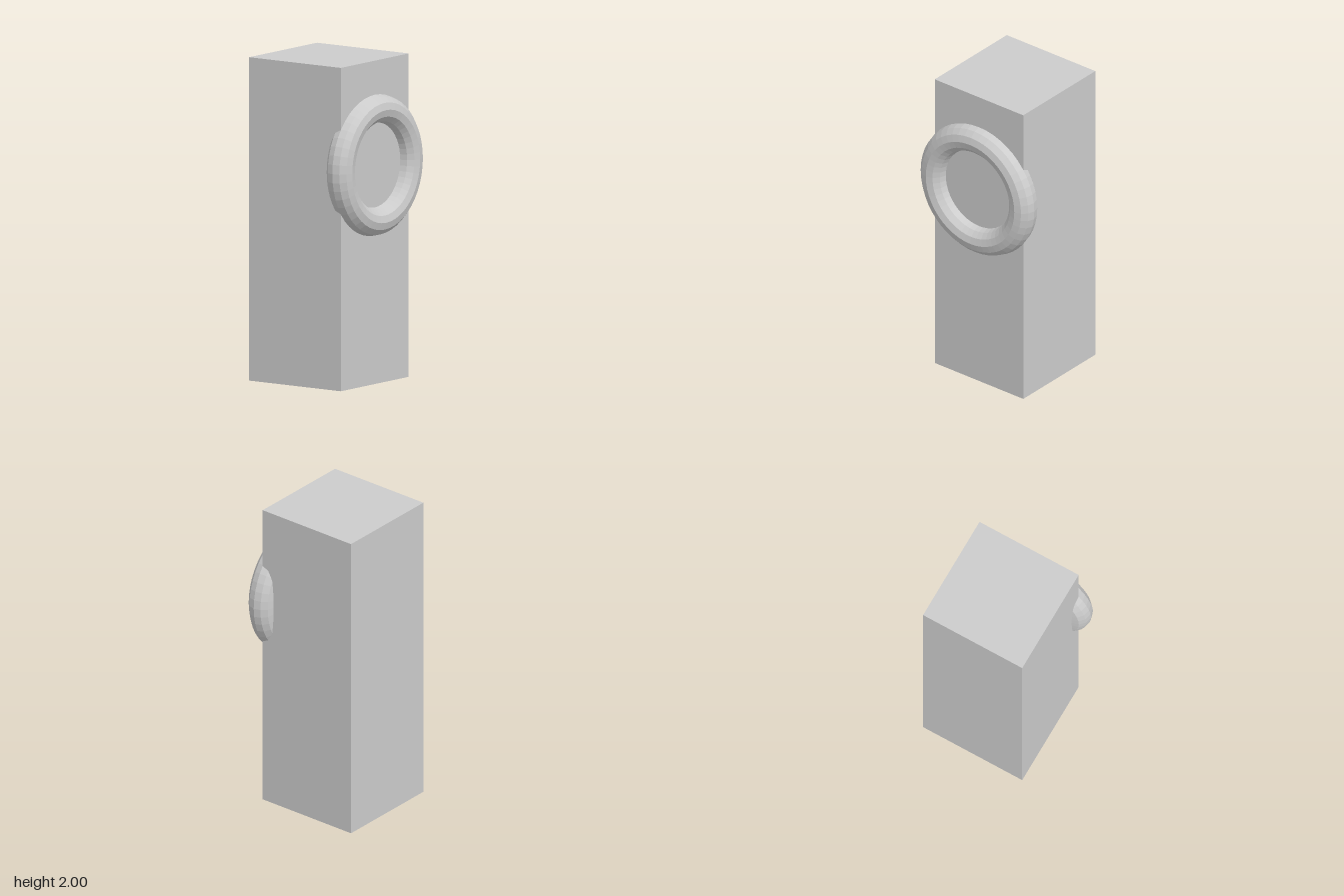
import * as THREE from 'three';

const WIDTH = 0.697, HEIGHT = 2, TUBE = 0.087;

export function createModel() {
  const model = new THREE.Group();
  const material = new THREE.MeshStandardMaterial({ color: 0xcccccc, flatShading: true });
  const faceX = (WIDTH - TUBE) / 2; // side face that carries the ring

  // Tall square post
  const post = new THREE.Mesh(new THREE.BoxGeometry(WIDTH, HEIGHT, WIDTH), material);
  post.name = 'post';
  post.position.set(faceX - WIDTH / 2, HEIGHT / 2, 0);

  // Ring half sunk into the side face, wider than the post
  const ring = new THREE.Mesh(new THREE.TorusGeometry(WIDTH / 2, TUBE, 12, 48), material);
  ring.name = 'ring';
  ring.rotation.y = Math.PI / 2;
  ring.position.set(faceX, 1.354, 0);

  model.add(post, ring);
  return model;
}
